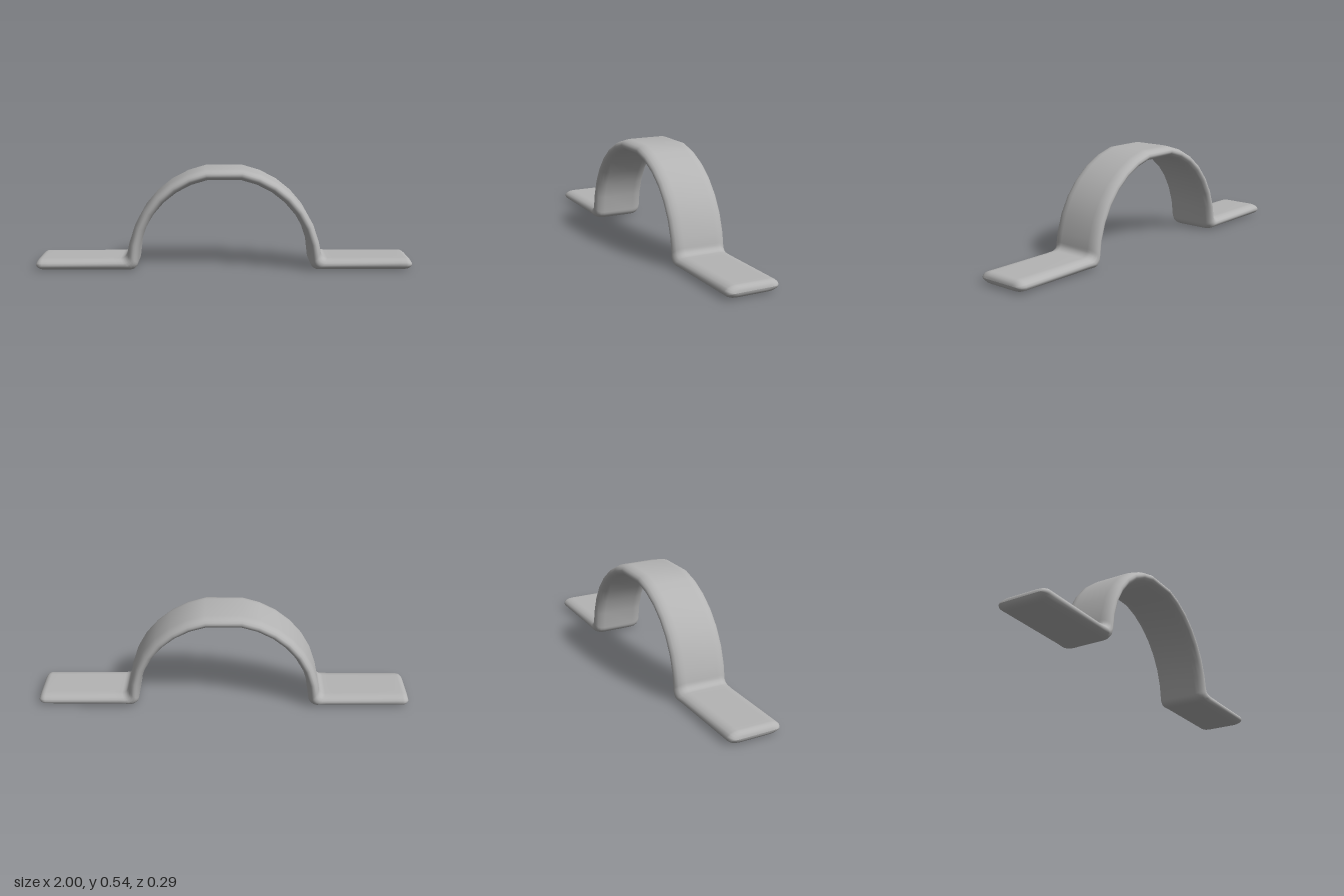
import * as THREE from 'three';

// Each station pairs a point on the strap's outer face with one on its inner face, plus a half width.
function halfStations() {
  const list = [];
  const rad = Math.PI / 180;
  // rounded flange tip
  for (let i = 0; i <= 5; i++) {
    const b = i * 18 * rad;
    const x = 1 - 0.035 * (1 - Math.sin(b * 0.999 + 0.001)), t = 0.03 * Math.sin(b);
    const tipX = 1 - 0.035 * (1 - Math.cos(b));
    list.push({ o: [tipX, 0.031 + t], i: [tipX, 0.031 - t], w: 0.141 - 0.035 * (1 - x) / 0.035 });
  }
  list.push({ o: [0.93, 0.061], i: [0.93, 0.001], w: 0.141 });
  list.push({ o: [0.59, 0.061], i: [0.53, 0.001], w: 0.142 });
  // bend from flange into arch
  for (let k = 0; k <= 5; k++) {
    const a = k * 18 * rad, s = Math.sin(a), c = Math.cos(a);
    list.push({
      o: [0.55 - 0.037 * s, 0.098 - 0.037 * c],
      i: [0.497 - 0.038 * s, 0.039 - 0.038 * c],
      w: 0.145,
    });
  }
  // faceted semicircular arch
  for (let deg = 77; deg >= 11; deg -= 11) {
    const s = Math.sin(deg * rad), c = Math.cos(deg * rad);
    list.push({ o: [0.516 * s, 0.03 + 0.516 * c], i: [0.459 * s, 0.03 + 0.459 * c], w: 0.145 });
  }
  return list;
}

// Sweep a flat, round-edged section through all the stations
function strapGeometry() {
  const half = halfStations();
  const mirror = ({ o, i, w }) => ({ o: [-o[0], o[1]], i: [-i[0], i[1]], w });
  const stations = [...half, ...half.map(mirror).reverse()];
  const section = [];
  for (let k = 0; k <= 8; k++) section.push([1, (-90 + k * 22.5) * Math.PI / 180]);
  for (let k = 0; k <= 8; k++) section.push([-1, (90 + k * 22.5) * Math.PI / 180]);
  const n = section.length, edge = 0.055;
  const positions = [], index = [];
  stations.forEach(({ o, i, w }, s) => {
    section.forEach(([side, a], j) => {
      const f = (1 + Math.sin(a)) / 2;
      positions.push(
        i[0] + (o[0] - i[0]) * f,
        i[1] + (o[1] - i[1]) * f,
        side * (w - edge) + edge * Math.cos(a));
      if (s === stations.length - 1) return;
      const A = s * n + j, C = s * n + (j + 1) % n;
      index.push(A, C, A + n, C, C + n, A + n);
    });
  });
  const geometry = new THREE.BufferGeometry();
  geometry.setAttribute('position', new THREE.Float32BufferAttribute(positions, 3));
  geometry.setIndex(index);
  geometry.computeVertexNormals();
  return geometry;
}

export function createModel() {
  const group = new THREE.Group();
  group.name = 'pipeClamp';
  const metal = new THREE.MeshStandardMaterial({ color: 0xb4b4b4 });
  metal.name = 'light grey metal';
  const strap = new THREE.Mesh(strapGeometry(), metal);
  strap.name = 'strap';
  group.add(strap);
  return group;
}
